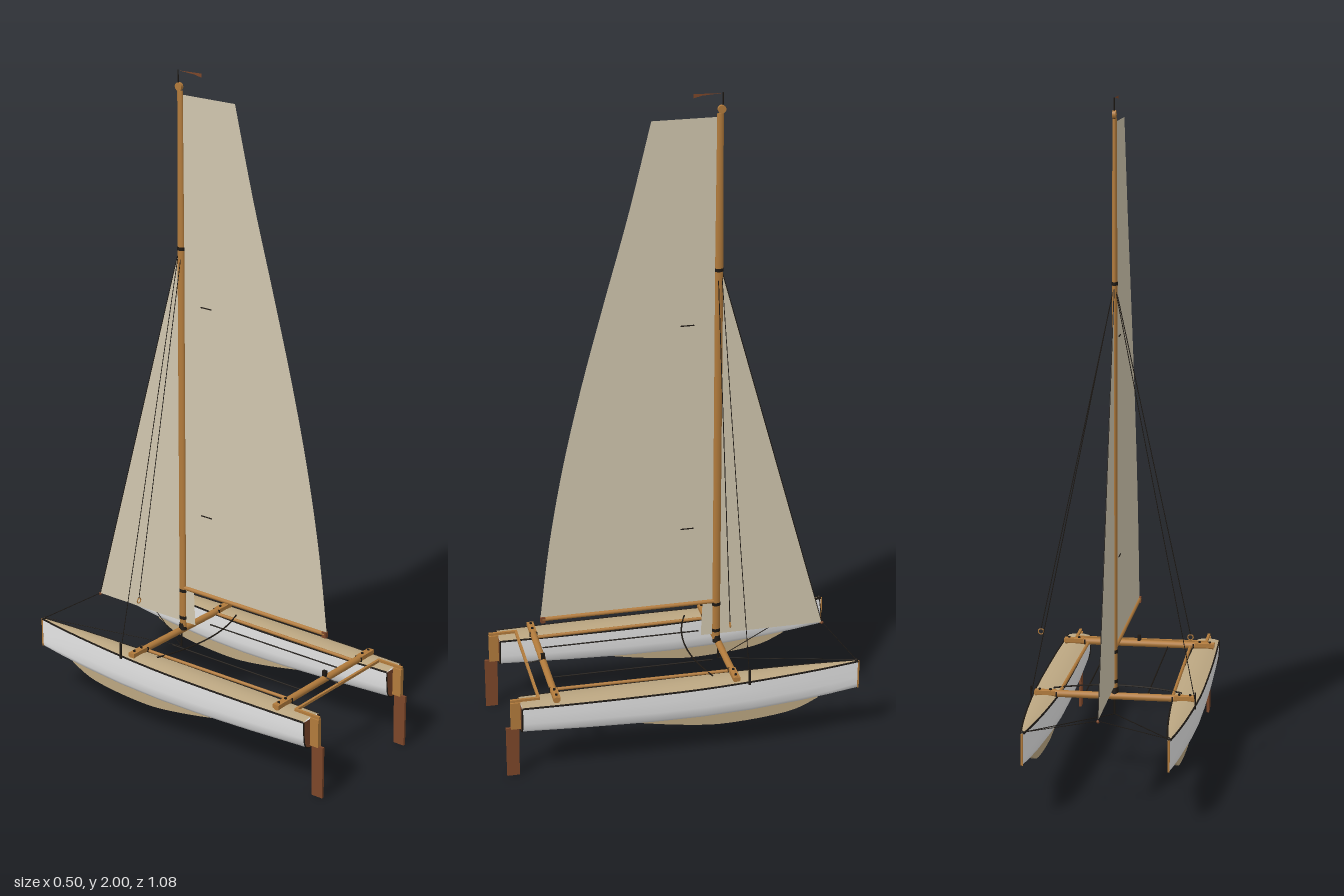
import * as THREE from 'three';

const mat = (name, color, side = THREE.FrontSide) => {
  const m = new THREE.MeshStandardMaterial({ color, side });
  m.name = name;
  return m;
};
const V = (x, y, z) => new THREE.Vector3(x, y, z);

export function createModel() {
  const white = mat('hull white', 0xe6e6e6, THREE.DoubleSide);
  const tan = mat('deck tan', 0xbba681, THREE.DoubleSide);
  const sail = mat('sail cloth', 0xd0c6ae, THREE.DoubleSide);
  const wood = mat('varnished wood', 0xb27b3c);
  const brown = mat('dark wood', 0x7c4629, THREE.DoubleSide);
  const black = mat('rigging black', 0x1e1914);

  const boat = new THREE.Group();
  boat.name = 'catamaran';
  const add = (name, geo, m, x = 0, y = 0, z = 0, parent = boat) => {
    const mesh = new THREE.Mesh(geo, m);
    mesh.name = name;
    mesh.position.set(x, y, z);
    parent.add(mesh);
    return mesh;
  };
  const box = (name, w, h, d, m, x, y, z, parent) =>
    add(name, new THREE.BoxGeometry(w, h, d), m, x, y, z, parent);
  // Round bar between two points
  const bar = (name, a, b, r, m, parent, sides = 5) => {
    const mid = a.clone().add(b).multiplyScalar(0.5);
    const mesh = add(name, new THREE.CylinderGeometry(r, r, a.distanceTo(b), sides), m, mid.x, mid.y, mid.z, parent);
    mesh.quaternion.setFromUnitVectors(V(0, 1, 0), b.clone().sub(a).normalize());
    return mesh;
  };
  const rope = (name, a, b, parent) => bar(name, a, b, 0.0013, black, parent, 4);

  // Skin through a list of equal-length cross-sections
  const loft = (rings) => {
    const n = rings[0].length, index = [];
    for (let i = 0; i < rings.length - 1; i++)
      for (let j = 0; j < n - 1; j++) {
        const a = i * n + j, b = a + n;
        index.push(a, a + 1, b, b, a + 1, b + 1);
      }
    const g = new THREE.BufferGeometry().setFromPoints(rings.flat());
    g.setIndex(index);
    g.computeVertexNormals();
    return g;
  };
  // Flat outline given as [z, y], standing in the fore-and-aft plane
  const plate = (pts, thick) => {
    const shape = new THREE.Shape(pts.map(([z, y]) => new THREE.Vector2(-z, y)));
    const g = thick
      ? new THREE.ExtrudeGeometry(shape, { depth: thick, bevelEnabled: false }).translate(0, 0, -thick / 2)
      : new THREE.ShapeGeometry(shape);
    return g.rotateY(Math.PI / 2);
  };

  // Hull stations: z, half beam, sheer height, bottom height
  const stations = [
    [0.5, 0.036, 0.243, 0.152], [0.3, 0.041, 0.243, 0.142], [0.1, 0.042, 0.243, 0.134],
    [-0.05, 0.0405, 0.244, 0.132], [-0.2, 0.034, 0.247, 0.135], [-0.35, 0.0235, 0.251, 0.144],
    [-0.45, 0.0135, 0.254, 0.153], [-0.536, 0.0025, 0.257, 0.165],
  ];
  const half = [[1, 1], [0.98, 0.7], [0.92, 0.4], [0.8, 0.16], [0.5, 0.04], [0, 0]];
  const section = [...half, ...half.slice(0, -1).reverse().map(([x, y]) => [-x, y])];
  const ringAt = ([z, b, top, low]) => section.map(([x, y]) => V(x * b, low + y * (top - low), z));
  const deckAt = ([z, b, top]) =>
    [-1, -0.5, 0, 0.5, 1].map((x) => V(x * b, top + 0.16 * b * (1 - x * x), z));
  const keelLine = new THREE.SplineCurve([[0.17, 0.136], [0.06, 0.115], [-0.05, 0.099], [-0.13, 0.095],
    [-0.25, 0.102], [-0.34, 0.117], [-0.41, 0.148]].map(([z, y]) => new THREE.Vector2(z, y)));

  for (const s of [-1, 1]) {
    const hull = new THREE.Group();
    hull.name = s > 0 ? 'leftHull' : 'rightHull';
    hull.position.x = s * 0.207;
    boat.add(hull);
    add('hullShell', loft(stations.map(ringAt)), white, 0, 0, 0, hull);
    add('deck', loft(stations.map(deckAt)), tan, 0, 0, 0, hull);
    for (const e of [-1, 1]) {
      const rail = new THREE.CatmullRomCurve3(stations.map(([z, b, top]) => V(e * b, top - 0.001, z)));
      add('gunwale', new THREE.TubeGeometry(rail, 24, 0.003, 5), black, 0, 0, 0, hull);
    }
    // Transom and its dark edging
    const [z0, b0, t0, l0] = stations[0];
    const outline = section.map(([x, y]) => new THREE.Vector2(x * b0, l0 + y * (t0 - l0)));
    add('transom', new THREE.ShapeGeometry(new THREE.Shape(outline)), brown, 0, 0, z0 + 0.001, hull);
    const edge = new THREE.CatmullRomCurve3(ringAt(stations[0]));
    add('transomEdge', new THREE.TubeGeometry(edge, 30, 0.0025, 4), black, 0, 0, 0, hull);
    // Stem, keel and bow eye
    box('stem', 0.006, 0.092, 0.005, wood, 0, 0.211, -0.537, hull);
    add('bowEye', new THREE.SphereGeometry(0.005, 8, 6), black, 0, 0.26, -0.53, hull);
    const keel = keelLine.getPoints(24).map((p) => [p.x, p.y]);
    add('keel', plate([...keel, [-0.41, 0.16], [0.17, 0.15]], 0.011), tan, 0, 0, 0, hull);

    // Rudder and tiller
    box('rudderHead', 0.014, 0.088, 0.03, wood, 0, 0.203, 0.515, hull);
    add('rudderBlade', plate([[0.505, 0.162], [0.545, 0.162], [0.545, 0], [0.508, 0]], 0.008), brown, 0, 0, 0, hull);
    box('tiller', 0.008, 0.008, 0.088, wood, 0, 0.252, 0.486, hull);

    // Side rail and lacing strap between the beams
    bar('sideRail', V(s * 0.168, 0.25, -0.14), V(s * 0.162, 0.25, 0.385), 0.005, wood, boat, 8);
    bar('strap', V(s * 0.092, 0.25, -0.11), V(s * 0.092, 0.25, 0.38), 0.0022, black);

    // Standing rigging
    const hound = V(0, 1.475, -0.15), bow = V(s * 0.205, 0.26, -0.53);
    const chain = V(s * 0.243, 0.255, -0.188), grip = V(s * 0.221, 0.445, -0.131);
    rope('shroud', hound, chain);
    box('chainplate', 0.004, 0.05, 0.007, black, s * 0.242, 0.262, -0.188);
    rope('trapezeLine', V(0, 1.475, -0.14), grip);
    add('trapezeRing', new THREE.TorusGeometry(0.008, 0.0018, 5, 12), wood, grip.x, grip.y - 0.008, grip.z);
    rope('bridle', V(0, 0.286, -0.48), bow);
    rope('strikerStay', V(0, 0.2, -0.15), bow);
  }

  // Cross beams with clamps and bolts
  for (const [name, z] of [['frontBeam', -0.15], ['rearBeam', 0.395]]) {
    bar(name, V(-0.235, 0.255, z), V(0.235, 0.255, z), 0.0105, wood, boat, 14);
    for (const s of [-1, 1]) {
      box('beamClamp', 0.062, 0.012, 0.021, wood, s * 0.207, 0.258, z);
      for (const dx of [-0.016, 0.016])
        add('beamBolt', new THREE.CylinderGeometry(0.004, 0.004, 0.006, 8), black, s * 0.207 + dx, 0.266, z);
      box('beamStrap', 0.004, 0.014, 0.024, black, s * 0.172, 0.255, z);
    }
  }
  bar('strikerPost', V(0, 0.2, -0.15), V(0, 0.25, -0.15), 0.003, black);

  // Curved jib track, tiller bar and tiller extension
  const track = new THREE.QuadraticBezierCurve3(V(-0.193, 0.252, -0.088), V(0, 0.258, -0.004), V(0.193, 0.252, -0.088));
  add('jibTrack', new THREE.TubeGeometry(track, 24, 0.0025, 5), black);
  box('tillerBar', 0.418, 0.008, 0.008, wood, 0, 0.252, 0.445);
  bar('tillerExtension', V(0, 0.262, 0.395), V(0, 0.255, 0.445), 0.002, black);
  box('mainsheetBlock', 0.01, 0.02, 0.012, black, 0, 0.272, 0.395);

  // Mast: oval tube with a tapered top
  const mast = add('mast', new THREE.LatheGeometry([[0, 0.27], [0.012, 0.27], [0.012, 1.5], [0.0095, 1.94], [0, 1.94]]
    .map(([r, y]) => new THREE.Vector2(r, y)), 16), wood, 0, 0, -0.143);
  mast.scale.x = 0.65;
  add('mastFoot', new THREE.CylinderGeometry(0.01, 0.013, 0.022, 12), black, 0, 0.27, -0.145);
  for (const y of [0.3, 0.39, 1.475])
    add('mastBand', new THREE.CylinderGeometry(0.0128, 0.0128, 0.01, 14), black, 0, y, -0.143).scale.x = 0.7;
  const sheave = add('mastheadSheave', new THREE.CylinderGeometry(0.012, 0.012, 0.01, 12), wood, 0, 1.952, -0.147);
  sheave.rotation.z = Math.PI / 2;
  bar('vanePost', V(0, 1.94, -0.15), V(0, 2, -0.15), 0.002, black);
  add('windVane', plate([[-0.15, 1.998], [-0.065, 2], [-0.065, 1.988], [-0.09, 1.994]]), brown);

  // Boom
  bar('boom', V(0, 0.4, -0.14), V(0, 0.4, 0.395), 0.0065, wood, boat, 12);
  box('boomEnd', 0.012, 0.018, 0.014, brown, 0, 0.398, 0.393);

  // Mainsail with a curved trailing edge, and its battens
  const leech = new THREE.SplineCurve([[0.4, 0.405], [0.368, 0.65], [0.322, 0.9], [0.263, 1.15], [0.195, 1.4],
    [0.122, 1.66], [0.055, 1.93]].map(([z, y]) => new THREE.Vector2(z, y)));
  add('mainsail', plate([[-0.14, 0.405], ...leech.getPoints(30).map((p) => [p.x, p.y]), [-0.14, 1.93]]), sail);
  for (const y of [0.655, 1.31]) box('telltale', 0.004, 0.003, 0.04, black, 0, y, -0.05);

  // Jib and forestay
  add('jib', plate([[-0.095, 0.286], [-0.145, 1.42], [-0.15, 1.47], [-0.478, 0.286]]), sail);
  rope('forestay', V(0, 1.475, -0.15), V(0, 0.284, -0.48));
  add('tackFitting', new THREE.SphereGeometry(0.005, 8, 6), brown, 0, 0.284, -0.48);
  return boat;
}
